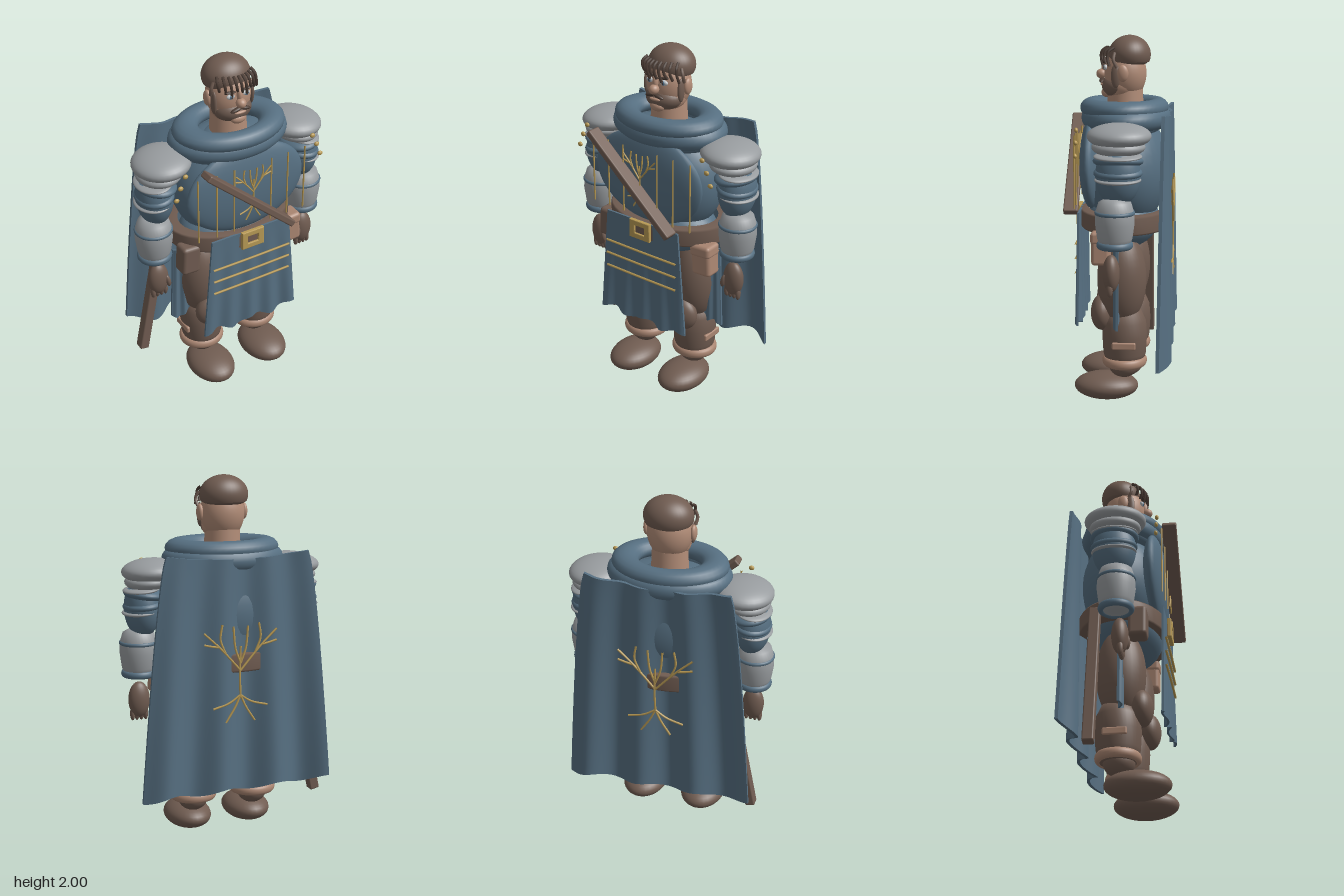
import * as THREE from 'three';
import { RoundedBoxGeometry } from 'three/addons/geometries/RoundedBoxGeometry.js';

const paint = (name, color) => {
  const m = new THREE.MeshStandardMaterial({ color });
  m.name = name;
  return m;
};

export function createModel() {
  const root = new THREE.Group();
  root.name = 'cloakedKnight';
  const blue = paint('blueCloth', 0x566f81);
  const brown = paint('brownLeather', 0x705c51);
  const skin = paint('skin', 0xb18c77);
  const tan = paint('tanLeather', 0xaa8672);
  const metal = paint('steel', 0x989c9f);
  const gold = paint('gold', 0xb89a55);
  const hair = paint('darkHair', 0x4c3d35);
  const white = paint('eyeWhite', 0xc4c8ca);
  const iris = paint('iris', 0x5c7f9c);

  const add = (name, geo, mat, p = [0, 0, 0], r = [0, 0, 0], s = [1, 1, 1]) => {
    const m = new THREE.Mesh(geo, mat);
    m.name = name;
    m.position.set(...p);
    m.rotation.set(...r);
    m.scale.set(...s);
    root.add(m);
    return m;
  };
  const ball = new THREE.SphereGeometry(1, 32, 20);
  const blob = (name, mat, p, s, r) => add(name, ball, mat, p, r, s);
  const box = (name, mat, size, p, r, bevel = 0.008) =>
    add(name, new RoundedBoxGeometry(...size, 2, bevel), mat, p, r);
  const tube = (name, mat, pts, rad) => {
    const curve = new THREE.CatmullRomCurve3(pts.map(p => new THREE.Vector3(...p)));
    return add(name, new THREE.TubeGeometry(curve, 10, rad, 6), mat);
  };
  const lathe = (name, mat, pts, p, s) =>
    add(name, new THREE.LatheGeometry(pts.map(q => new THREE.Vector2(...q)), 36), mat, p, [0, 0, 0], s);
  // Flat ring around the vertical axis: rx, rz are radii to the tube centre
  const ring = (name, mat, p, rx, rz, rad, tall = rad) =>
    add(name, new THREE.TorusGeometry(rx, rad, 16, 48), mat, p, [Math.PI / 2, 0, 0], [1, rz / rx, tall / rad]);
  // Thick cloth sheet: place(u in -1..1, t from hem 0 to top 1) gives the middle surface
  const cloth = (name, thick, place) => {
    const g = new THREE.BoxGeometry(2, 1, thick, 60, 24, 1), a = g.attributes.position;
    for (let i = 0; i < a.count; i++) {
      const [x, y, z] = place(a.getX(i), a.getY(i) + 0.5);
      a.setXYZ(i, x, y, z + a.getZ(i));
    }
    g.computeVertexNormals();
    return add(name, g, blue);
  };

  // Torso, chest plate and hips
  blob('torso', blue, [0, 1.27, -0.03], [0.335, 0.33, 0.235]);
  blob('chestPlate', blue, [0, 1.31, 0.155], [0.36, 0.26, 0.065]);
  blob('hips', blue, [0, 0.99, -0.015], [0.31, 0.16, 0.2]);

  // Cowl: two thick rolls
  ring('cowlLower', blue, [0, 1.555, -0.03], 0.28, 0.2, 0.063, 0.055);
  ring('cowlUpper', blue, [0, 1.61, -0.02], 0.245, 0.185, 0.075, 0.05);
  blob('shoulderYoke', blue, [0, 1.51, -0.02], [0.3, 0.07, 0.2]);

  // Belt and buckle
  lathe('belt', brown, [[0.3, -0.05], [0.362, -0.05], [0.37, -0.04], [0.37, 0.04], [0.362, 0.05], [0.3, 0.05]],
    [0, 1.01, -0.03], [1, 1, 0.685]);
  const frame = new THREE.Shape([[-0.065, -0.05], [0.065, -0.05], [0.065, 0.05], [-0.065, 0.05]].map(q => new THREE.Vector2(...q)));
  frame.holes.push(new THREE.Path([[-0.037, -0.027], [-0.037, 0.027], [0.037, 0.027], [0.037, -0.027]].map(q => new THREE.Vector2(...q))));
  add('buckle', new THREE.ExtrudeGeometry(frame, { depth: 0.015, bevelSize: 0.004, bevelThickness: 0.004, bevelSegments: 2 }), gold, [0, 1.015, 0.222]);
  box('buckleCentre', brown, [0.08, 0.06, 0.02], [0, 1.015, 0.22]);

  // Pouches
  box('rightPouch', brown, [0.11, 0.17, 0.1], [-0.325, 0.92, 0.09], [0, 0, -0.06], 0.02);
  box('leftPouch', tan, [0.12, 0.17, 0.1], [0.33, 0.885, 0.08], [0, 0, 0.06], 0.02);
  box('leftPouchFlap', tan, [0.13, 0.07, 0.11], [0.325, 0.945, 0.08], [0, 0, 0.06], 0.02);

  // Chest strap and scabbard
  box('chestStrap', brown, [0.715, 0.038, 0.08], [-0.038, 1.295, 0.258], [0, 0.01, -0.73]);
  box('scabbard', brown, [0.055, 0.82, 0.06], [-0.44, 0.6, -0.135], [0, 0, -0.2]);

  // Cape hanging behind
  cloth('cape', 0.018, (u, t) => {
    const d = 1 - t, x = u * (0.4 + 0.14 * Math.pow(d, 0.7));
    const fold = Math.cos((2 * Math.PI * (u * 0.54 + 0.54)) / 0.32);
    const y = 0.295 + 1.275 * t + 0.018 * Math.sin(u * 11) * d + 0.03 * u * u * t - 0.01 * u * d;
    return [x, y, -0.257 - fold * (0.012 + 0.025 * d)];
  });

  // Front apron and hip panels
  cloth('apron', 0.012, (u, t) => {
    const d = 1 - t;
    return [u * (0.245 + 0.055 * d), 0.44 + 0.62 * t + 0.015 * Math.sin(u * 8 + 1) * d,
      0.212 + 0.012 * Math.cos(u * 14) * d];
  });
  for (const y of [0.88, 0.8, 0.72])
    tube('apronStripe', gold, [[-0.245, y, 0.228], [0, y, 0.23], [0.245, y, 0.228]], 0.007);
  for (const s of [-1, 1])
    cloth('hipPanel', 0.012, (u, t) => [s * 0.31 + u * (0.06 + 0.02 * (1 - t)),
      0.455 + 0.47 * t + 0.012 * Math.sin(u * 4) * (1 - t), 0.008 * Math.cos(u * 9)]);

  // Embroidered lines on the chest
  for (const s of [-1, 1])
    for (const [x, z] of [[0.115, 0.228], [0.22, 0.226], [0.33, 0.222]])
      tube('chestLine', gold, [[s * x, 1.1, z], [s * x, 1.3, z], [s * x, 1.49, z]], 0.0045);

  // Tree emblem: unit lines scaled into place
  const tree = (name, cx, cy, z, w, h, rad, mat) => {
    const line = pts => tube(name, mat, pts.map(([x, y]) => [cx + x * w, cy + y * h, z]), rad);
    line([[0, -0.45], [0.02, 0], [0, 0.55]]);
    for (const s of [-1, 1]) {
      line([[0, 0.05], [s * 0.4, 0.4], [s * 0.65, 0.6], [s * 1, 0.85]]);
      line([[s * 0.4, 0.4], [s * 0.55, 0.7], [s * 0.5, 1]]);
      line([[s * 0.6, 0.55], [s * 0.8, 0.58], [s * 1, 0.62]]);
      line([[0, 0.2], [s * 0.14, 0.5], [s * 0.2, 0.95]]);
      line([[0, -0.45], [s * 0.3, -0.6], [s * 0.75, -0.7]]);
      line([[0, -0.45], [s * 0.15, -0.7], [s * 0.4, -1]]);
    }
  };
  tree('chestTree', 0, 1.31, 0.232, 0.11, 0.16, 0.0045, gold);
  tree('capeTree', 0, 0.96, -0.292, 0.21, 0.27, 0.006, gold);

  // Arms
  for (const s of [-1, 1]) {
    blob('pauldron', metal, [s * 0.41, 1.5, -0.022], [0.158, 0.065, 0.168], [0, 0, -s * 0.06]);
    blob('pauldronLame', metal, [s * 0.43, 1.445, -0.02], [0.122, 0.05, 0.14], [0, 0, -s * 0.06]);
    blob('upperArm', blue, [s * 0.46, 1.3, -0.02], [0.098, 0.16, 0.118]);
    blob('sleevePuff', blue, [s * 0.45, 1.375, -0.02], [0.11, 0.04, 0.132], [0, 0, s * 0.1]);
    blob('sleevePuff', blue, [s * 0.46, 1.315, -0.02], [0.104, 0.04, 0.127], [0, 0, -s * 0.1]);
    blob('sleeveSlash', metal, [s * 0.465, 1.4, -0.02], [0.098, 0.02, 0.126], [0, 0, -s * 0.1]);
    blob('sleeveSlash', metal, [s * 0.47, 1.28, -0.02], [0.1, 0.02, 0.122], [0, 0, -s * 0.08]);
    lathe('bracer', metal, [[0, -0.13], [0.075, -0.125], [0.092, -0.08], [0.103, 0], [0.1, 0.06], [0.085, 0.11], [0.05, 0.13], [0, 0.13]],
      [s * 0.48, 1.055, -0.005]);
    ring('bracerBand', blue, [s * 0.48, 1.11, -0.005], 0.095, 0.095, 0.011);
    ring('cuff', blue, [s * 0.48, 0.94, -0.005], 0.08, 0.08, 0.016, 0.02);
    // Hand with fingers
    blob('hand', brown, [s * 0.475, 0.785, 0.015], [0.06, 0.1, 0.045]);
    for (let i = 0; i < 4; i++)
      blob('finger', brown, [s * (0.437 + i * 0.025), 0.705, 0.02], [0.014, 0.038, 0.017]);
    blob('thumb', brown, [s * 0.43, 0.77, 0.045], [0.015, 0.04, 0.018], [0, 0, -s * 0.2]);
    // Gold shoulder studs
    for (const [x, y] of [[0.39, 1.525], [0.42, 1.463], [0.445, 1.397]])
      blob('stud', gold, [s * x, y, 0.203], [0.015, 0.013, 0.01]);
  }

  // Legs
  for (const s of [-1, 1]) {
    const x = s * 0.18;
    blob('thigh', brown, [s * 0.19, 0.69, -0.02], [0.135, 0.26, 0.135]);
    blob('knee', brown, [x, 0.495, 0.09], [0.1, 0.1, 0.062]);
    lathe('boot', brown, [[0, -0.16], [0.1, -0.15], [0.118, -0.08], [0.124, 0.02], [0.118, 0.1], [0.09, 0.16], [0, 0.19]], [x, 0.35, -0.035]);
    blob('ankle', brown, [x, 0.2, -0.03], [0.085, 0.075, 0.085]);
    ring('bootCuff', tan, [x, 0.223, -0.035], 0.112, 0.105, 0.02, 0.027);
    for (const e of [-1, 1])
      box('bootStrap', tan, [0.02, 0.04, 0.13], [x + e * 0.118, 0.335, -0.038]);
    blob('foot', brown, [x, 0.075, 0.067], [0.13, 0.075, 0.178]);
  }

  // Head
  add('neck', new THREE.CylinderGeometry(0.095, 0.105, 0.2, 32), skin, [0, 1.61, -0.025]);
  blob('head', skin, [0, 1.795, -0.025], [0.122, 0.15, 0.115]);
  blob('jaw', skin, [0, 1.73, -0.005], [0.11, 0.085, 0.1]);
  const cap = new THREE.SphereGeometry(1, 36, 20, 0, Math.PI * 2, 0, Math.PI * 0.62);
  add('hairCap', cap, brown, [0, 1.895, -0.048], [0, 0, 0], [0.134, 0.105, 0.115]);
  blob('hairCapUnderside', brown, [0, 1.875, -0.048], [0.129, 0.05, 0.11]);
  blob('beard', brown, [0, 1.725, 0.012], [0.108, 0.068, 0.092]);
  blob('chin', skin, [0, 1.69, 0.078], [0.045, 0.028, 0.028]);
  blob('lips', skin, [0, 1.734, 0.099], [0.035, 0.009, 0.012]);
  blob('nose', skin, [0, 1.79, 0.105], [0.027, 0.027, 0.03]);
  blob('noseBridge', skin, [0, 1.825, 0.085], [0.015, 0.04, 0.022]);
  for (const s of [-1, 1]) {
    blob('ear', skin, [s * 0.128, 1.8, -0.02], [0.018, 0.045, 0.03]);
    blob('sideburn', brown, [s * 0.113, 1.785, 0.02], [0.014, 0.065, 0.025]);
    blob('eye', white, [s * 0.046, 1.828, 0.078], [0.024, 0.015, 0.012]);
    blob('iris', iris, [s * 0.046, 1.828, 0.087], [0.011, 0.012, 0.005]);
    blob('pupil', hair, [s * 0.046, 1.828, 0.0915], [0.005, 0.006, 0.002]);
    blob('eyebrow', hair, [s * 0.05, 1.856, 0.085], [0.032, 0.007, 0.01], [0, 0, s * 0.12]);
    blob('moustache', hair, [s * 0.025, 1.757, 0.102], [0.036, 0.01, 0.014], [0, 0, -s * 0.25]);
    tube('sideLock', brown, [[s * 0.118, 1.91, 0.025], [s * 0.133, 1.87, 0.03], [s * 0.127, 1.83, 0.012]], 0.009);
  }
  // Fringe locks across the forehead
  for (let i = 0; i < 9; i++) {
    const u = (i - 4) / 4, x = u * 0.112, z = 0.105 - 0.045 * u * u, drop = 0.012 * (i % 3);
    tube('fringeLock', hair, [[x * 0.9, 1.935, z - 0.03], [x, 1.915, z - 0.003],
      [x + 0.004, 1.885, z + 0.003], [x + 0.014, 1.86 - drop, z - 0.008]], 0.0085);
  }
  return root;
}
